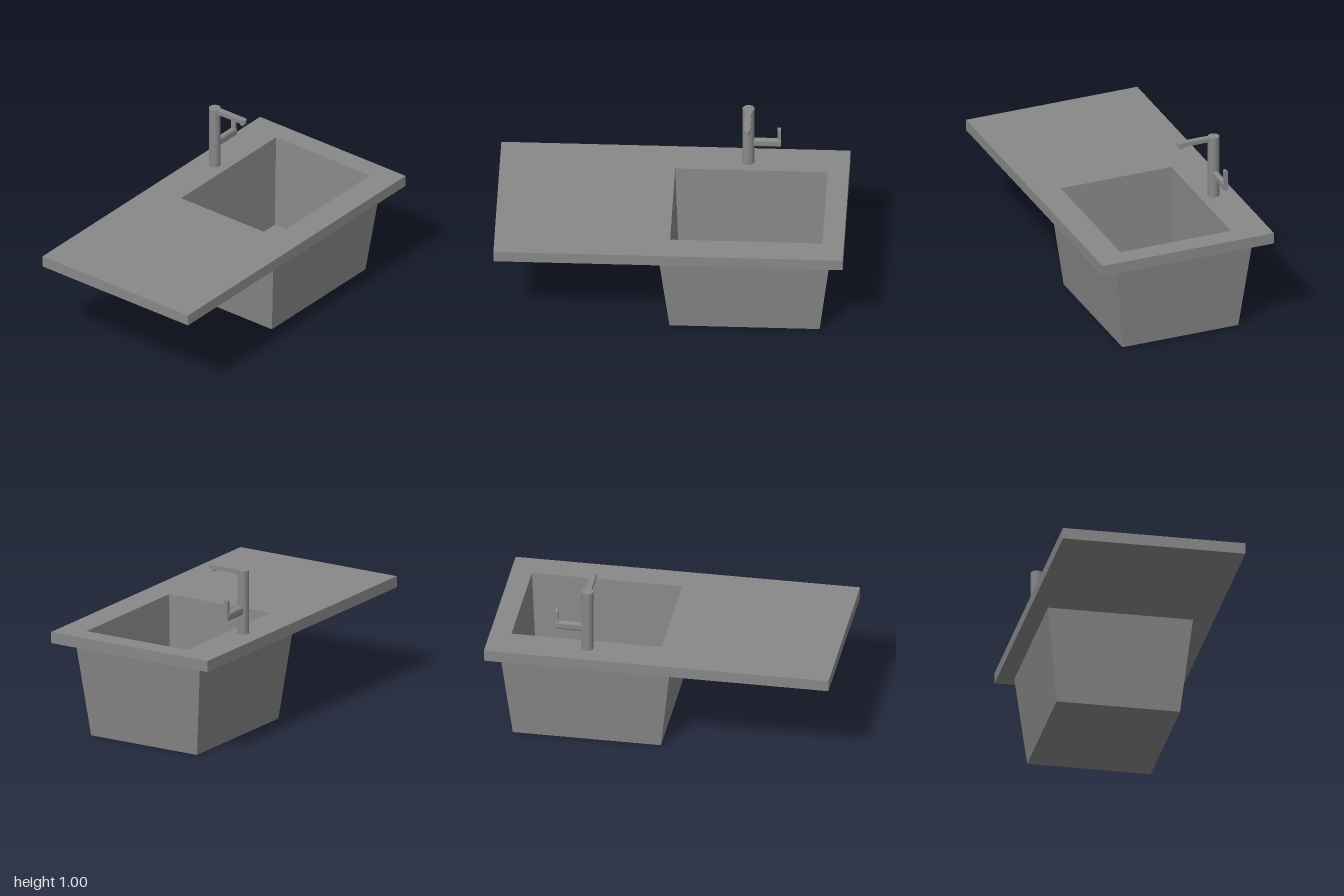
import * as THREE from 'three';

// Horizontal rectangle at height y, corners clockwise seen from above
const ring = (x0, x1, z0, z1, y) => [[x0, y, z0], [x1, y, z0], [x1, y, z1], [x0, y, z1]];

// Joins successive rectangles with flat faces; optional caps on the ends
function loft(rings, { bottom = false, floor = false } = {}) {
  const p = [];
  const tri = (...c) => c.forEach((v) => p.push(...v));
  for (let r = 0; r < rings.length - 1; r++) {
    const a = rings[r], b = rings[r + 1];
    for (let i = 0; i < 4; i++) {
      const j = (i + 1) % 4;
      tri(a[j], a[i], b[i]);
      tri(a[j], b[i], b[j]);
    }
  }
  const f = rings[0], l = rings[rings.length - 1];
  if (bottom) { tri(f[0], f[1], f[2]); tri(f[0], f[2], f[3]); }
  if (floor) { tri(l[0], l[2], l[1]); tri(l[0], l[3], l[2]); }
  const g = new THREE.BufferGeometry();
  g.setAttribute('position', new THREE.Float32BufferAttribute(p, 3));
  g.computeVertexNormals();
  return g;
}

// Upright bar outline with round ends, centred on the origin
function stadium(width, height) {
  const r = width / 2, h = height / 2 - r;
  const s = new THREE.Shape();
  s.absarc(0, h, r, 0, Math.PI, false);
  s.absarc(0, -h, r, Math.PI, Math.PI * 2, false);
  s.closePath();
  return s;
}
const bar = (width, height, depth) =>
  new THREE.ExtrudeGeometry(stadium(width, height), { depth, bevelEnabled: false, curveSegments: 12 });

export function createModel() {
  const model = new THREE.Group();
  const grey = new THREE.MeshStandardMaterial({ color: 0x888888 });
  grey.name = 'grey';
  const add = (name, geometry, x = 0, y = 0, z = 0, parent = model) => {
    const m = new THREE.Mesh(geometry, grey);
    m.name = name;
    m.position.set(x, y, z);
    parent.add(m);
    return m;
  };

  // Shared section rectangles
  const shellBase = ring(-0.37, 0.35, -0.86, 0, 0);
  const shellRim = ring(-0.432, 0.413, -0.925, 0.065, 0.557);
  const opening = ring(-0.317, 0.37, -0.877, -0.005, 0.623);
  const basinFloor = ring(-0.304, 0.352, -0.85, -0.024, 0.06);

  // Worktop with its cut-out, tapered bowl shell and basin lining
  add('worktop', loft([shellRim, ring(-0.532, 0.532, -1, 1, 0.557), ring(-0.532, 0.532, -1, 1, 0.623), opening]));
  add('bowlShell', loft([shellBase, shellRim], { bottom: true }));
  add('basin', loft([opening, basinFloor], { floor: true }));

  // Tap
  const tap = new THREE.Group();
  tap.name = 'tap';
  tap.position.set(-0.402, 0, -0.421);
  model.add(tap);
  add('tapColumn', new THREE.CylinderGeometry(0.034, 0.034, 0.377, 32), 0, 0.8115, 0, tap);

  // Flat spout with rounded ends, reaching over the basin
  const spout = bar(0.036, 0.245, 0.024);
  spout.rotateZ(-Math.PI / 2).rotateX(-Math.PI / 2);
  add('spout', spout, 0.1045, 0.9755, 0, tap);
  add('nozzle', new THREE.CylinderGeometry(0.013, 0.013, 0.02, 24), 0.202, 0.972, 0, tap);

  // Side lever: arm towards the back, then an upright grip
  add('leverArm', bar(0.034, 0.054, 0.155), 0, 0.764, -0.183, tap);
  add('leverGrip', bar(0.026, 0.128, 0.018), 0, 0.802, -0.185, tap);

  return model;
}
